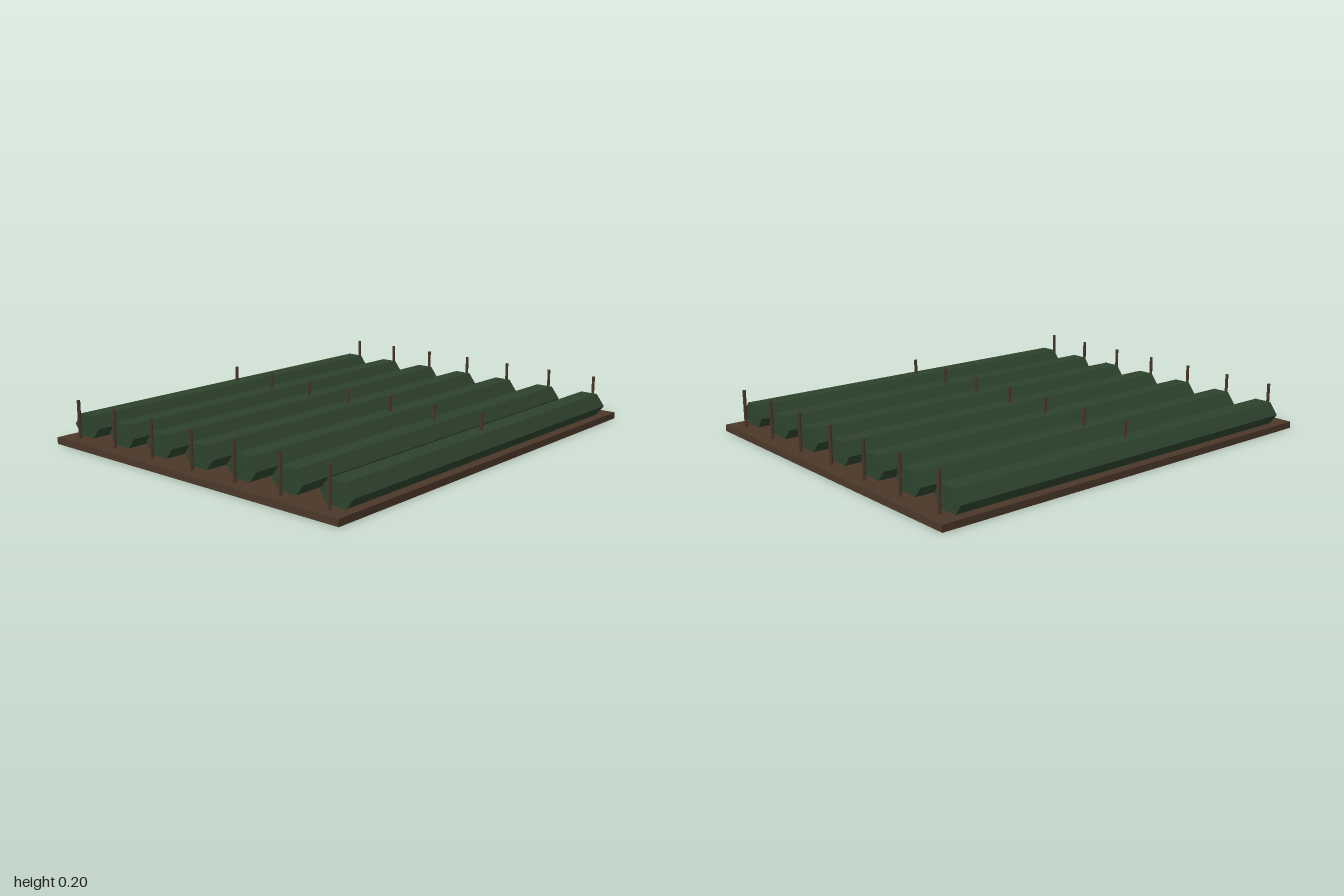
import * as THREE from 'three';

export function createModel() {
  const model = new THREE.Group();
  model.name = 'plantedField';

  const soil = new THREE.MeshStandardMaterial({ color: 0x4a3829, flatShading: true });
  soil.name = 'soil brown';
  const leaf = new THREE.MeshStandardMaterial({ color: 0x2d422d, flatShading: true });
  leaf.name = 'leaf green';
  const wood = new THREE.MeshStandardMaterial({ color: 0x483628, flatShading: true });
  wood.name = 'post brown';

  const add = (parent, name, geometry, material, x, y, z) => {
    const mesh = new THREE.Mesh(geometry, material);
    mesh.name = name;
    mesh.position.set(x, y, z);
    parent.add(mesh);
  };

  // Ground slab
  add(model, 'groundSlab', new THREE.BoxGeometry(2, 0.03, 1.634), soil, 0, 0.015, 0);

  // Hexagonal hedge lying along x, slightly squashed in height
  const hedge = new THREE.CylinderGeometry(0.081, 0.081, 1.815, 6);
  hedge.rotateZ(Math.PI / 2);
  hedge.scale(1, 0.75, 1);

  // Thin post, standing on the slab
  const post = new THREE.CylinderGeometry(0.0075, 0.0075, 0.17, 6);

  // Seven rows, each a hedge with three posts
  for (let i = 0; i < 7; i++) {
    const row = new THREE.Group();
    row.name = `row${i + 1}`;
    row.position.z = (i - 3) * 0.242;
    add(row, 'hedge', hedge, leaf, 0, 0.076, 0);
    add(row, 'rightPost', post, wood, -0.944, 0.115, 0);
    add(row, 'middlePost', post, wood, 0, 0.115, 0);
    add(row, 'leftPost', post, wood, 0.944, 0.115, 0);
    model.add(row);
  }
  return model;
}
